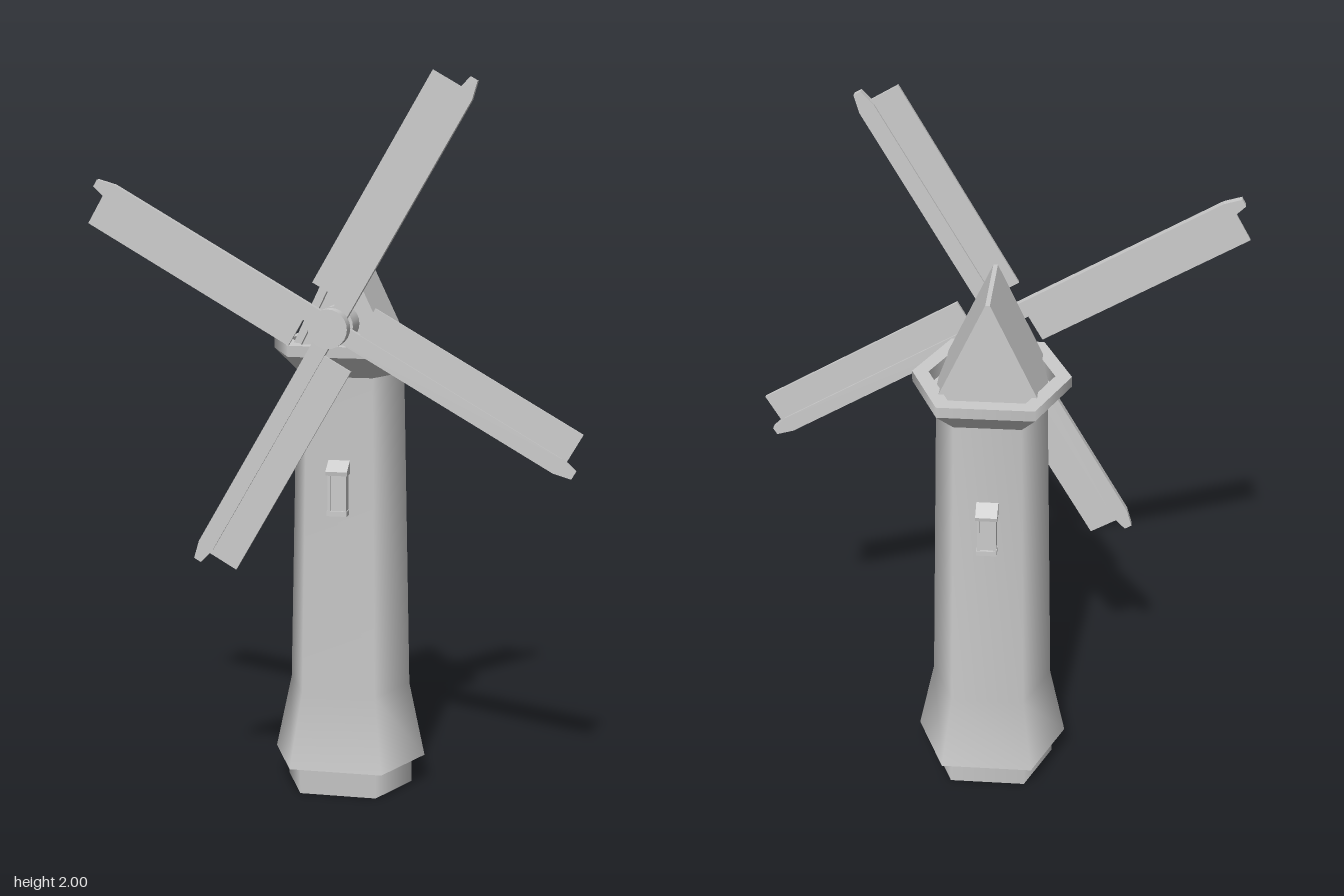
import * as THREE from 'three';

const material = new THREE.MeshStandardMaterial({ color: 0xcccccc });
const TOWER_Z = -0.033, HUB_X = -0.005, HUB_Y = 1.325;

function add(parent, name, geometry, x = 0, y = 0, z = 0) {
  const mesh = new THREE.Mesh(geometry, material);
  mesh.name = name;
  mesh.position.set(x, y, z);
  parent.add(mesh);
  return mesh;
}

// Six-sided shell with corners on +-x and broadened front and back faces
function hexBand(points) {
  const geo = new THREE.LatheGeometry(points.map(p => new THREE.Vector2(...p)), 6, Math.PI / 2);
  const pos = geo.attributes.position;
  for (let i = 0; i < pos.count; i++) {
    const x = pos.getX(i), z = pos.getZ(i);
    if (Math.abs(z) > 1e-4) pos.setXYZ(i, x * 1.2, pos.getY(i), z * 1.08);
  }
  return geo;
}

function extrude(points, depth) {
  const shape = new THREE.Shape(points.map(p => new THREE.Vector2(...p)));
  return new THREE.ExtrudeGeometry(shape, { depth, bevelEnabled: false });
}

function makeTower() {
  const tower = new THREE.Group();
  tower.name = 'tower';
  tower.position.z = TOWER_Z;
  const bands = {
    baseUnderside: [[0, 0], [0.18, 0]],
    base: [[0.18, 0], [0.18, 0.08]],
    skirtUnderside: [[0.18, 0.08], [0.217, 0.08]],
    towerWall: [[0.217, 0.08], [0.172, 0.29], [0.153, 1.18]],
    galleryFlare: [[0.153, 1.18], [0.217, 1.24]],
    galleryEdge: [[0.217, 1.24], [0.217, 1.27]],
    galleryRim: [[0.217, 1.27], [0.172, 1.27]],
    galleryInnerWall: [[0.172, 1.27], [0.172, 1.23]],
    galleryFloor: [[0.172, 1.23], [0, 1.23]],
  };
  for (const name in bands) add(tower, name, hexBand(bands[name]));

  // Matching dormer windows on the front and back faces
  for (const [name, turn] of [['frontWindow', 0], ['backWindow', Math.PI]]) {
    const win = new THREE.Group();
    win.name = name;
    win.rotation.y = turn;
    add(win, 'windowPane', new THREE.BoxGeometry(0.04, 0.12, 0.06), 0, 0.87, 0.145);
    for (const s of [-1, 1])
      add(win, 'windowPost', new THREE.BoxGeometry(0.008, 0.12, 0.07), s * 0.022, 0.87, 0.146);
    add(win, 'windowSill', new THREE.BoxGeometry(0.056, 0.014, 0.07), 0, 0.809, 0.148);
    const hood = extrude([[0.12, 0.915], [0.186, 0.915], [0.188, 0.926], [0.14, 0.957], [0.12, 0.957]], 0.06);
    add(win, 'windowHood', hood, 0.03, 0, 0).rotation.y = -Math.PI / 2;
    add(tower, 'unused', new THREE.BufferGeometry()).removeFromParent();
    tower.add(win);
  }
  return tower;
}

function makeRoof() {
  const roof = new THREE.Group();
  roof.name = 'roof';
  // Pitched panels overhanging a set-back gable
  add(roof, 'roofPanels', extrude([
    [-0.15, 1.23], [-0.128, 1.23], [0, 1.49], [0.128, 1.23],
    [0.15, 1.23], [0.006, 1.535], [-0.006, 1.535],
  ], 0.257), 0, 0, -0.162);
  add(roof, 'gable', extrude([[-0.13, 1.23], [0.13, 1.23], [0, 1.495]], 0.217), 0, 0, -0.142);
  return roof;
}

function makeSails() {
  const sails = new THREE.Group();
  sails.name = 'sails';
  sails.position.set(HUB_X, HUB_Y, 0);
  const disc = (name, r, z0, z1) =>
    add(sails, name, new THREE.CylinderGeometry(r, r, z1 - z0, 24).rotateX(Math.PI / 2), 0, 0, (z0 + z1) / 2);
  disc('shaftCollar', 0.053, 0.06, 0.162);
  disc('shaft', 0.03, 0.15, 0.21);
  disc('hubCap', 0.053, 0.196, 0.24);

  // Four arms, each carrying a thin panel on one side
  for (let i = 0; i < 4; i++) {
    const sail = new THREE.Group();
    sail.name = 'sail';
    sail.rotation.z = Math.PI / 3 + i * Math.PI / 2;
    add(sail, 'sailArm', extrude([
      [0, -0.024], [0.705, -0.024], [0.754, -0.012], [0.754, 0.01], [0.705, 0.022], [0, 0.022],
    ], 0.022), 0, 0, 0.173);
    add(sail, 'sailPanel', new THREE.BoxGeometry(0.643, 0.126, 0.01), 0.3985, 0.042, 0.184);
    sails.add(sail);
  }
  return sails;
}

export function createModel() {
  const model = new THREE.Group();
  model.name = 'windmill';
  model.add(makeTower(), makeRoof(), makeSails());
  return model;
}
